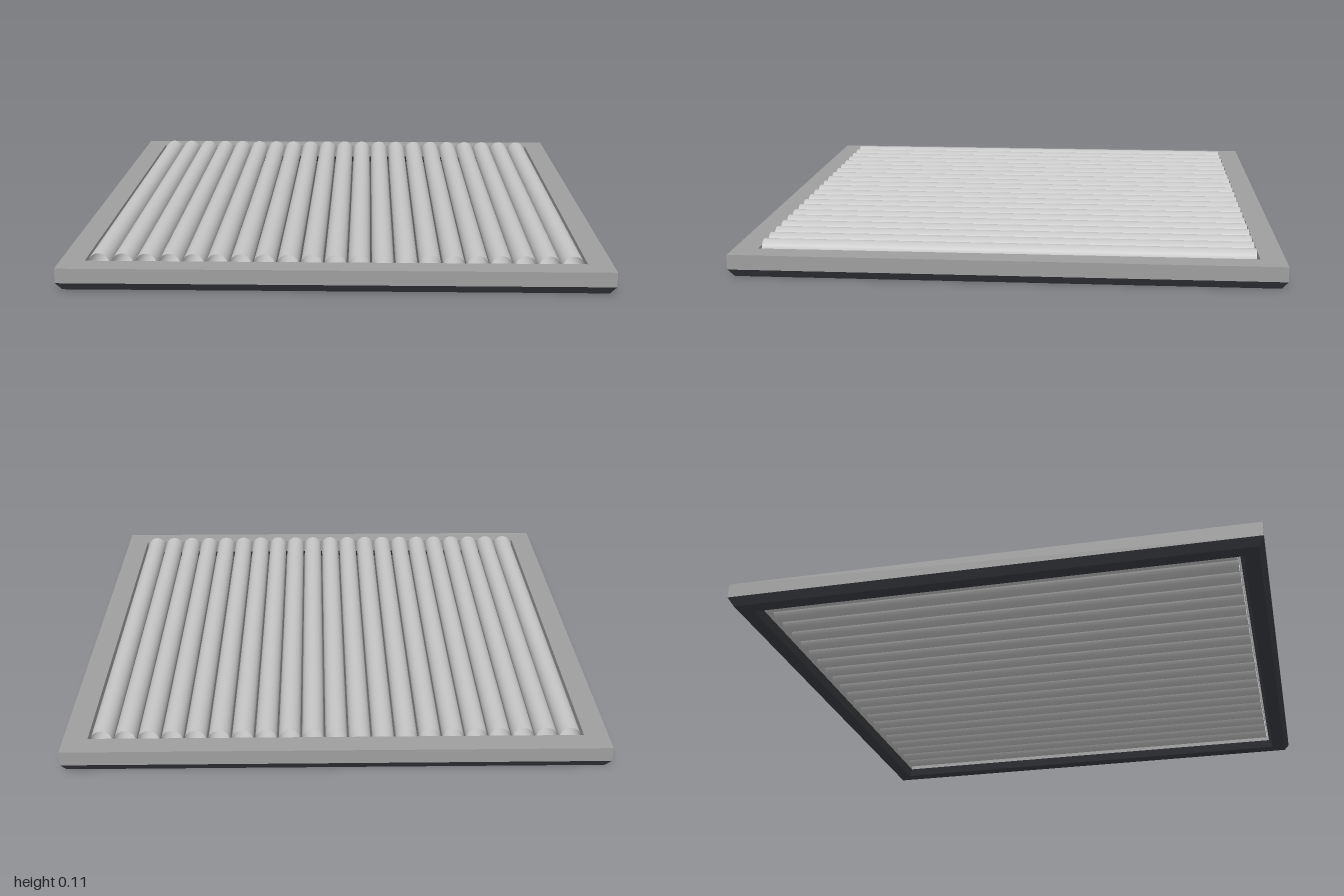
import * as THREE from 'three';

export function createModel() {
  const frameGrey = new THREE.MeshStandardMaterial({ name: 'frameGrey', color: 0x9e9e9e });
  const gasketBlack = new THREE.MeshStandardMaterial({ name: 'gasketBlack', color: 0x3a3d42 });
  const pleatGrey = new THREE.MeshStandardMaterial({ name: 'pleatGrey', color: 0xc6c6c6, side: THREE.DoubleSide });

  const model = new THREE.Group();
  model.name = 'panelFilter';

  // Square ring swept from a closed [halfWidth, y] section, with flat faces
  function squareRing(name, section, material) {
    const points = [...section, section[0]].map(([w, y]) => new THREE.Vector2(w * Math.SQRT2, y));
    const geometry = new THREE.LatheGeometry(points, 4).rotateY(Math.PI / 4).toNonIndexed();
    geometry.computeVertexNormals();
    const mesh = new THREE.Mesh(geometry, material);
    mesh.name = name;
    model.add(mesh);
  }

  // Upright outer frame
  squareRing('frame', [[1, 0.03], [1, 0.085], [0.91, 0.085], [0.91, 0.03]], frameGrey);

  // Bevelled sealing strip under the frame
  squareRing('gasket', [[0.98, 0], [1, 0.03], [0.91, 0.03], [0.925, 0]], gasketBlack);

  // Row of rounded, open-ended pleats running front to back
  const pleats = new THREE.Group();
  pleats.name = 'pleats';
  const pleatGeometry = new THREE.CylinderGeometry(0.04, 0.04, 1.8, 20, 1, true).rotateX(Math.PI / 2);
  const count = 21, pitch = 0.0862;
  for (let i = 0; i < count; i++) {
    const pleat = new THREE.Mesh(pleatGeometry, pleatGrey);
    pleat.name = 'pleat';
    pleat.position.set((i - (count - 1) / 2) * pitch, 0.07, 0);
    pleats.add(pleat);
  }
  model.add(pleats);

  return model;
}
